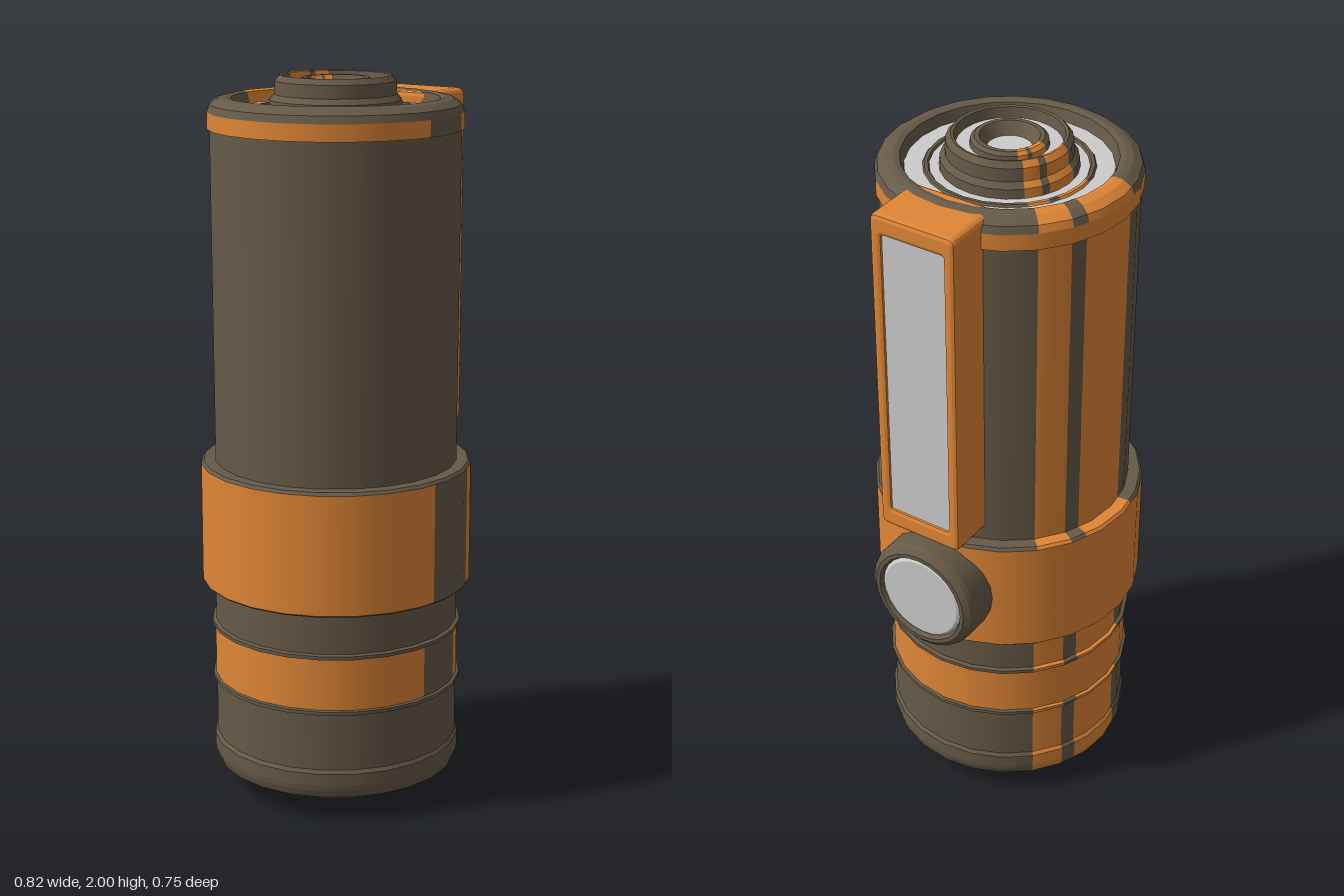
import * as THREE from 'three';
import { mergeGeometries } from 'three/addons/utils/BufferGeometryUtils.js';

const paint = (color) => new THREE.MeshStandardMaterial({ color, side: THREE.DoubleSide });
const dark = paint(0x665a48), orange = paint(0xe08636), grey = paint(0xcccccc);
const AXIS_X = -0.035, STEP = 7.5;

// Angular sectors in degrees from +z towards +x: [start, end, material]
const SECTORS = {
  dark: [[-172.5, 135, dark], [135, 150, orange], [150, 157.5, dark], [157.5, 187.5, orange]],
  orange: [[-7.5, 22.5, dark], [22.5, 30, orange], [30, 45, dark], [45, 352.5, orange]],
  grey: [[0, 360, grey]],
};

// One sector of a 24-sided turned surface, crisp along the profile and smooth around it
function sectorGeometry(profile, from, to) {
  const rings = [];
  for (let i = 0; i + 1 < profile.length; i++) {
    const pts = [profile[i], profile[i + 1]].map(([r, y]) => new THREE.Vector2(r, y));
    rings.push(new THREE.LatheGeometry(pts, Math.round((to - from) / STEP),
      THREE.MathUtils.degToRad(from), THREE.MathUtils.degToRad(to - from)));
  }
  const geo = mergeGeometries(rings), p = geo.attributes.position;
  // half-step points sit on the chords of the 24-gon
  for (let i = 0; i < p.count; i++) {
    const k = Math.round(THREE.MathUtils.radToDeg(Math.atan2(p.getX(i), p.getZ(i))) / STEP);
    const s = k % 2 ? Math.cos(THREE.MathUtils.degToRad(STEP)) : 1;
    p.setXYZ(i, p.getX(i) * s, p.getY(i), p.getZ(i) * s);
  }
  return geo;
}

function turned(name, profile, style) {
  const part = new THREE.Group();
  part.name = name;
  for (const [from, to, material] of SECTORS[style]) {
    const mesh = new THREE.Mesh(sectorGeometry(profile, from, to), material);
    mesh.name = name + 'Sector';
    part.add(mesh);
  }
  return part;
}

// End cap profiles, listed upwards/inwards for the top end
const CAP = [
  ['capRim', 'dark', [[0.345, 1.905], [0.338, 1.925], [0.315, 1.94], [0.295, 1.944], [0.28, 1.94], [0.27, 1.905]]],
  ['capDisc', 'grey', [[0.27, 1.91], [0.222, 1.91]]],
  ['capGroove', 'dark', [[0.222, 1.91], [0.218, 1.916], [0.209, 1.916], [0.205, 1.91]]],
  ['capInnerDisc', 'grey', [[0.205, 1.91], [0.178, 1.91]]],
  ['capBoss', 'dark', [[0.18, 1.91], [0.178, 1.935], [0.165, 1.95], [0.163, 1.985], [0.15, 2], [0.142, 1.998], [0.136, 1.965]]],
  ['capBossDisc', 'grey', [[0.137, 1.97], [0.1, 1.97]]],
  ['capCollar', 'dark', [[0.102, 1.97], [0.1, 1.985], [0.09, 1.993], [0.078, 1.993], [0.07, 1.98], [0.055, 1.955]]],
  ['capCentre', 'grey', [[0.06, 1.96], [0, 1.96]]],
];

function roundedRect(target, w, h, r) {
  const x = w / 2, y = h / 2;
  target.moveTo(-x + r, -y);
  target.lineTo(x - r, -y); target.quadraticCurveTo(x, -y, x, -y + r);
  target.lineTo(x, y - r); target.quadraticCurveTo(x, y, x - r, y);
  target.lineTo(-x + r, y); target.quadraticCurveTo(-x, y, -x, y - r);
  target.lineTo(-x, -y + r); target.quadraticCurveTo(-x, -y, -x + r, -y);
  return target;
}

// Framed panel facing +x
function sidePanel() {
  const part = new THREE.Group();
  part.name = 'sidePanel';
  const b = 0.012;
  const outline = roundedRect(new THREE.Shape(), 0.25 - 2 * b, 0.955 - 2 * b, 0.008);
  outline.holes.push(roundedRect(new THREE.Path(), 0.182 + 2 * b, 0.842 + 2 * b, 0.02));
  const geo = new THREE.ExtrudeGeometry(outline, {
    depth: 0.185 - 2 * b, bevelSize: b, bevelThickness: b, bevelSegments: 2, curveSegments: 4,
  });
  geo.translate(0, 0, b);
  const frame = new THREE.Mesh(geo, orange);
  frame.name = 'panelFrame';
  const window = new THREE.Mesh(new THREE.BoxGeometry(0.2, 0.86, 0.01), grey);
  window.name = 'panelWindow';
  window.position.set(0, 0.005, 0.172);
  const back = new THREE.Mesh(new THREE.BoxGeometry(0.2, 0.88, 0.15), orange);
  back.name = 'panelBacking';
  back.position.z = 0.085;
  part.add(frame, window, back);
  part.rotation.y = Math.PI / 2;
  part.position.set(0.215, 1.4625, 0);
  return part;
}

// Round button facing +x
function sideButton() {
  const part = new THREE.Group();
  part.name = 'sideButton';
  const ring = [[0.165, 0], [0.165, 0.135], [0.16, 0.148], [0.145, 0.16], [0.133, 0.16], [0.125, 0.145]];
  const housing = new THREE.Mesh(sectorGeometry(ring, 0, 360), dark);
  housing.name = 'buttonHousing';
  const face = new THREE.Mesh(sectorGeometry([[0.127, 0.148], [0.118, 0.154], [0, 0.154]], 0, 360), grey);
  face.name = 'buttonFace';
  part.add(housing, face);
  part.rotation.z = -Math.PI / 2;
  part.position.set(0.25, 0.775, 0);
  return part;
}

export function createModel() {
  const model = new THREE.Group();
  model.name = 'stripedCanister';
  const barrel = new THREE.Group();
  barrel.name = 'barrel';
  barrel.position.x = AXIS_X;

  // Matching caps at both ends
  for (const [name, style, profile] of CAP) {
    barrel.add(turned('top' + name, profile, style));
    const flipped = profile.map(([r, y]) => [r, 2 - y]).reverse();
    barrel.add(turned('bottom' + name, flipped, style));
  }

  // Barrel sections from the base up
  barrel.add(
    turned('baseCollar', [[0.345, 0.095], [0.347, 0.11], [0.347, 0.145], [0.34, 0.155]], 'dark'),
    turned('lowerBody', [[0.34, 0.155], [0.34, 0.315], [0.35, 0.318], [0.35, 0.328], [0.342, 0.33]], 'dark'),
    turned('lowerBand', [[0.342, 0.33], [0.342, 0.475]], 'orange'),
    turned('neck', [[0.342, 0.475], [0.35, 0.477], [0.35, 0.487], [0.34, 0.49], [0.34, 0.605], [0.37, 0.605], [0.375, 0.61]], 'dark'),
    turned('mainBand', [[0.375, 0.61], [0.375, 0.942]], 'orange'),
    turned('upperBody', [[0.375, 0.942], [0.368, 0.95], [0.335, 0.95], [0.338, 1.86], [0.345, 1.86]], 'dark'),
    turned('topBand', [[0.345, 1.86], [0.345, 1.905]], 'orange'),
  );

  model.add(barrel, sidePanel(), sideButton());
  return model;
}
